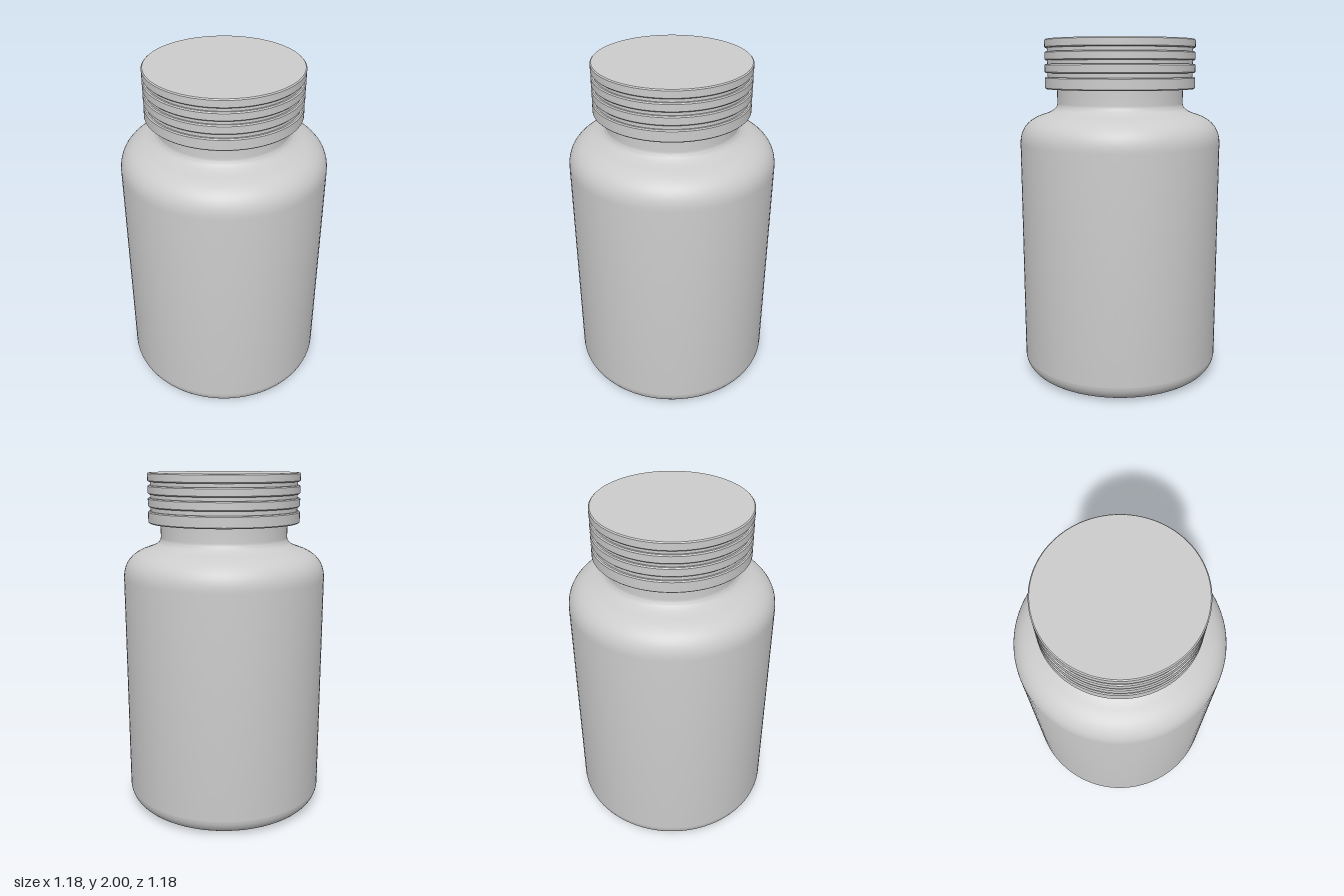
import * as THREE from 'three';
import { toCreasedNormals } from 'three/addons/utils/BufferGeometryUtils.js';

const SEGMENTS = 96;

// Revolve a profile (listed bottom to top) and keep its sharp edges
function revolve(name, points, material) {
  const geometry = toCreasedNormals(new THREE.LatheGeometry(points, SEGMENTS), 0.6);
  const mesh = new THREE.Mesh(geometry, material);
  mesh.name = name;
  return mesh;
}

export function createModel() {
  const plastic = new THREE.MeshStandardMaterial({ color: 0xcccccc });
  plastic.name = 'plain grey plastic';

  const group = new THREE.Group();
  group.name = 'pillBottle';

  // Bottle body: flat base, rounded foot, straight wall, round shoulder, flared neck
  const R = 0.59, foot = 0.11, neck = 0.37;
  const body = new THREE.Path();
  body.moveTo(0, 0);
  body.lineTo(R - foot, 0);
  body.absarc(R - foot, foot, foot, -Math.PI / 2, 0, false);
  body.lineTo(R, 1.4);
  body.bezierCurveTo(R, 1.49, 0.54, 1.54, 0.46, 1.567);
  body.bezierCurveTo(0.41, 1.582, neck, 1.6, neck, 1.635);
  body.lineTo(neck, 1.74);
  group.add(revolve('bottleBody', body.getPoints(12), plastic));

  // Screw cap: closed underside, bands parted by shallow grooves, flat top
  const capR = 0.44, grooveR = 0.425, bevel = 0.006;
  const bands = [[1.717, 1.785], [1.808, 1.86], [1.88, 1.93], [1.95, 2]];
  const cap = [new THREE.Vector2(0, 1.717)];
  for (const [low, high] of bands) {
    cap.push(
      new THREE.Vector2(low === 1.717 ? capR - bevel : grooveR, low),
      new THREE.Vector2(capR - bevel, low),
      new THREE.Vector2(capR, low + bevel),
      new THREE.Vector2(capR, high - bevel),
      new THREE.Vector2(capR - bevel, high),
      new THREE.Vector2(high === 2 ? 0 : grooveR, high)
    );
  }
  // Drop the repeated point on the bottom rim
  cap.splice(1, 1);
  group.add(revolve('screwCap', cap, plastic));

  return group;
}
